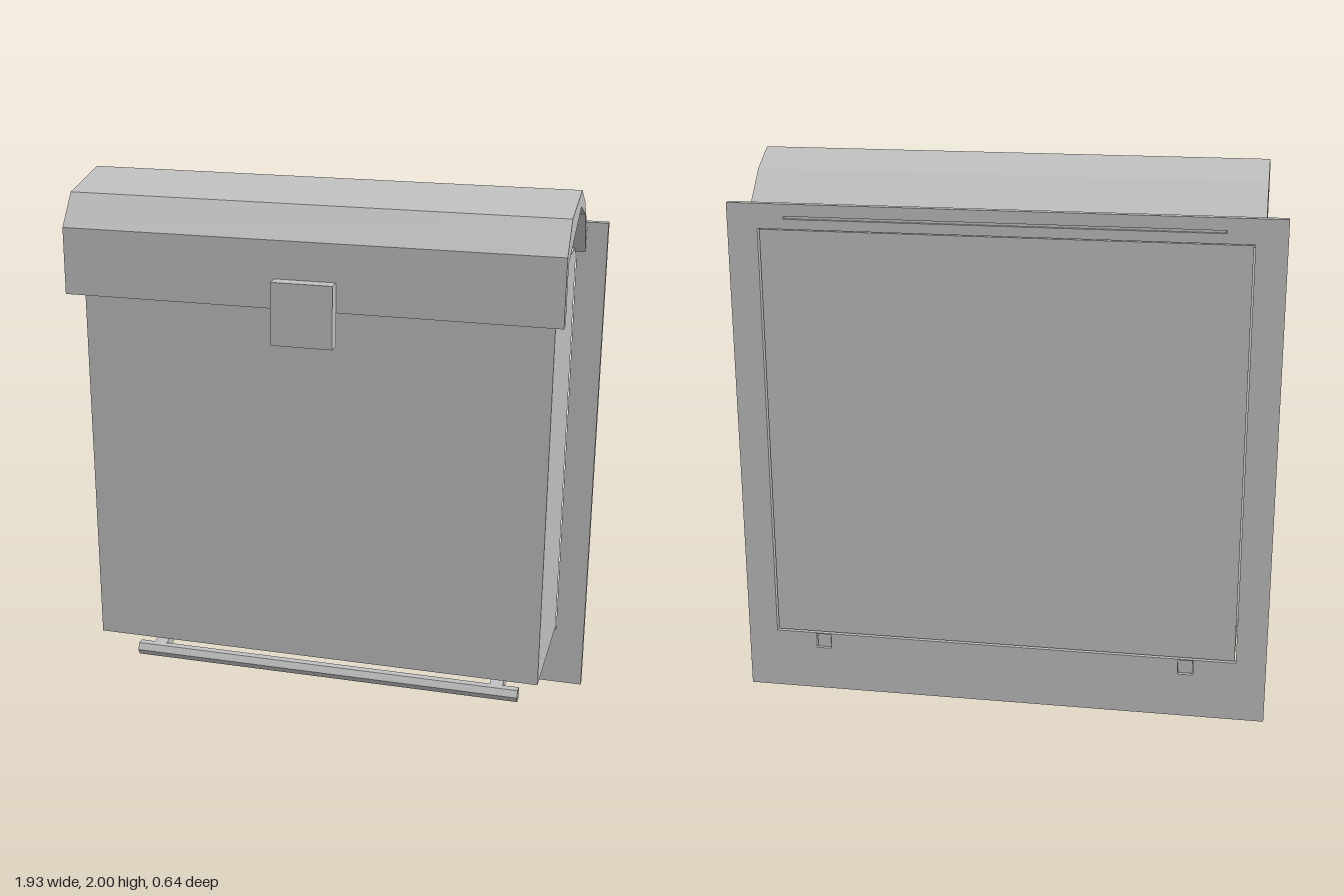
import * as THREE from 'three';

const grey = new THREE.MeshStandardMaterial({ color: 0xc0c0c0, flatShading: true });
grey.name = 'plain grey';

function add(group, name, geometry) {
  const mesh = new THREE.Mesh(geometry, grey);
  mesh.name = name;
  group.add(mesh);
  return mesh;
}

// Box given by its minimum and maximum corners
function block([x0, y0, z0], [x1, y1, z1]) {
  return new THREE.BoxGeometry(x1 - x0, y1 - y0, z1 - z0)
    .translate((x0 + x1) / 2, (y0 + y1) / 2, (z0 + z1) / 2);
}

// Side profile of [z, y] points, extruded along x and centred on cx
function sideProfile(points, width, cx = 0) {
  const shape = new THREE.Shape(points.map(([z, y]) => new THREE.Vector2(z, y)));
  return new THREE.ExtrudeGeometry(shape, { depth: width, bevelEnabled: false })
    .translate(0, 0, -width / 2).rotateY(-Math.PI / 2).translate(cx, 0, 0);
}

function rect(target, x0, y0, x1, y1) {
  target.moveTo(x0, y0);
  target.lineTo(x1, y0);
  target.lineTo(x1, y1);
  target.lineTo(x0, y1);
  target.closePath();
  return target;
}

export function createModel() {
  const group = new THREE.Group();
  group.name = 'wallBox';

  // Back plate with openings for the body, hinge tab and arms
  const plate = rect(new THREE.Shape(), -0.963, 0, 0.963, 1.843);
  plate.holes.push(
    rect(new THREE.Path(), -0.855, 0.226, 0.855, 1.755),
    rect(new THREE.Path(), -0.76, 1.79, 0.76, 1.8),
    ...[-1, 1].map((s) => rect(new THREE.Path(), s * 0.675 - 0.028, 0.166, s * 0.675 + 0.028, 0.222))
  );
  add(group, 'backPlate', new THREE.ExtrudeGeometry(plate, { depth: 0.028, bevelEnabled: false })
    .translate(0, 0, -0.32));

  // Body, set slightly into the plate
  add(group, 'body', block([-0.85, 0.23, -0.313], [0.85, 1.751, 0.185]));

  // Folded lid, hinge tab and latch
  add(group, 'lid', sideProfile([
    [0.27, 1.6], [0.267, 1.84], [0.18, 1.95], [-0.064, 2], [-0.175, 1.94], [-0.28, 1.83],
    [-0.28, 1.737], [-0.2, 1.89], [-0.064, 1.943], [0.228, 1.81], [0.228, 1.6],
  ], 1.776));
  add(group, 'hingeTab', block([-0.758, 1.791, -0.314], [0.758, 1.799, -0.27]));
  add(group, 'latch', block([-0.11, 1.482, 0.27], [0.11, 1.706, 0.32]));

  // Lower rail on two bent arms
  for (const s of [-1, 1]) {
    add(group, s > 0 ? 'leftArm' : 'rightArm', sideProfile([
      [-0.313, 0.169], [-0.106, 0.112], [0.02, 0.072], [0.03, 0.119], [-0.117, 0.166], [-0.313, 0.219],
    ], 0.05, s * 0.675));
  }
  add(group, 'rail', new THREE.CylinderGeometry(0.028, 0.028, 1.52, 6)
    .rotateZ(Math.PI / 2).translate(0, 0.095, 0.028));

  return group;
}
